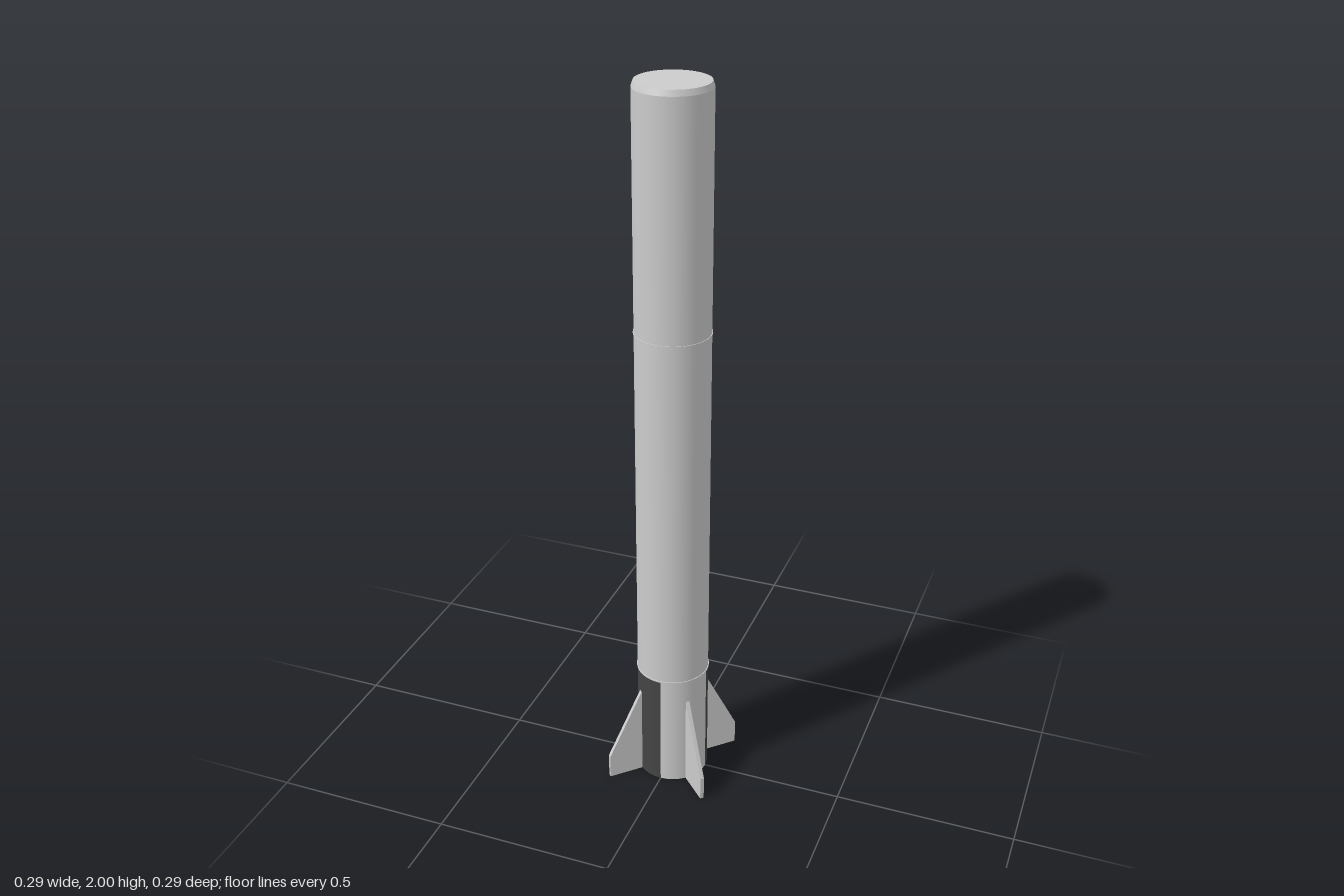
import * as THREE from 'three';

const R = 0.1, SKIRT = 0.34, JOINT = 1.36, TOP = 2;
const grey = new THREE.MeshStandardMaterial({ color: 0xcccccc });
const dark = new THREE.MeshStandardMaterial({ color: 0x444444 });
const greyInner = new THREE.MeshStandardMaterial({ color: 0xcccccc, side: THREE.DoubleSide });

export function createModel() {
  const model = new THREE.Group();
  model.name = 'rocketBooster';

  const add = (name, geometry, material = grey, y = 0) => {
    const mesh = new THREE.Mesh(geometry, material);
    mesh.name = name;
    mesh.position.y = y;
    model.add(mesh);
    return mesh;
  };
  const tube = (r1, r0, y0, y1) =>
    new THREE.CylinderGeometry(r1, r0, y1 - y0, 64, 1, true).translate(0, (y0 + y1) / 2, 0);

  // Tank sections, chamfered rim and flat top
  add('lowerTank', tube(R, R, SKIRT, JOINT));
  add('upperTank', tube(R, R, JOINT, TOP - 0.015));
  add('topChamfer', tube(0.095, R, TOP - 0.015, TOP));
  add('topCap', new THREE.CircleGeometry(0.095, 64).rotateX(-Math.PI / 2), grey, TOP);

  // Thin joint bands
  for (const y of [SKIRT, JOINT]) {
    add('jointBand', new THREE.CylinderGeometry(0.102, 0.102, 0.004, 64), grey, y);
  }

  // Engine skirt in alternating light and dark quarters
  for (let i = 0; i < 4; i++) {
    const quarter = new THREE.CylinderGeometry(R, R, SKIRT, 16, 1, true, i * Math.PI / 2, Math.PI / 2);
    add('skirtQuarter', quarter, i % 2 ? dark : grey, SKIRT / 2);
  }

  // Base plate with a recessed nozzle
  add('basePlate', new THREE.RingGeometry(0.05, R, 64).rotateX(Math.PI / 2), dark);
  const bell = [[0.05, 0], [0.046, 0], [0.042, 0.02], [0.034, 0.04], [0, 0.04]];
  add('nozzle', new THREE.LatheGeometry(bell.map(([x, y]) => new THREE.Vector2(x, y)), 48), greyInner);

  // Four diagonal swept fins
  const outline = [[0.095, 0], [0.2, 0], [0.2, 0.07], [0.1, 0.27], [0.095, 0.27]];
  const finGeometry = new THREE.ExtrudeGeometry(
    new THREE.Shape(outline.map(([x, y]) => new THREE.Vector2(x, y))),
    { depth: 0.011, bevelEnabled: false }
  ).translate(0, 0, -0.0055);
  for (let i = 0; i < 4; i++) {
    add('fin', finGeometry).rotation.y = Math.PI / 4 + i * Math.PI / 2;
  }

  return model;
}
